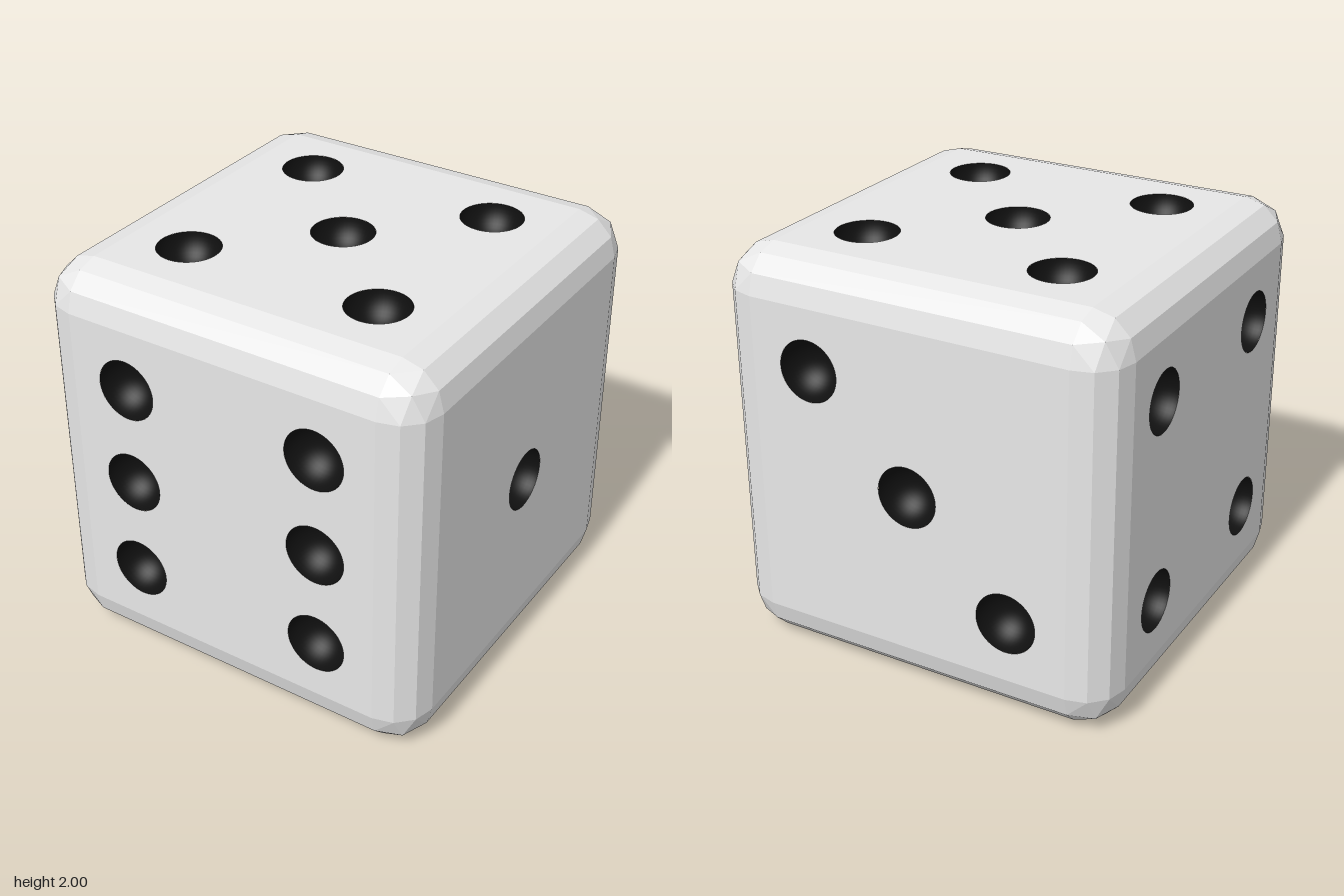
import * as THREE from 'three';
import { ConvexGeometry } from 'three/addons/geometries/ConvexGeometry.js';

const HALF = 1, BEVEL = 0.2, INNER = HALF - BEVEL;
const PIP_R = 0.15, PIP_SEGMENTS = 48, D = 0.5;

// Bevelled edges and corners: hull of eight rounded corners, without the six flat sides
function bevelGeometry() {
  const points = [];
  for (const sx of [-1, 1]) for (const sy of [-1, 1]) for (const sz of [-1, 1]) {
    for (let i = 0; i <= 3; i++) for (let j = 0; j <= 3 - i; j++) {
      const n = new THREE.Vector3(...[i, j, 3 - i - j].map(k => Math.sin(k * Math.PI / 6)));
      n.normalize().multiplyScalar(BEVEL).addScalar(INNER);
      points.push(n.multiply(new THREE.Vector3(sx, sy, sz)));
    }
  }
  const hull = new ConvexGeometry(points).getAttribute('position').array;
  const kept = [];
  for (let t = 0; t < hull.length; t += 9) {
    const flat = [0, 1, 2].some(a => {
      const c = [hull[t + a], hull[t + a + 3], hull[t + a + 6]];
      return c.every(v => v > HALF - 1e-4) || c.every(v => v < -HALF + 1e-4);
    });
    if (!flat) kept.push(...hull.slice(t, t + 9));
  }
  const geometry = new THREE.BufferGeometry();
  geometry.setAttribute('position', new THREE.Float32BufferAttribute(kept, 3));
  geometry.computeVertexNormals();
  return geometry;
}

// Flat square side with a round opening for each pip
function sideGeometry(pips) {
  const shape = new THREE.Shape([[-1, -1], [1, -1], [1, 1], [-1, 1]]
    .map(([x, y]) => new THREE.Vector2(x * INNER, y * INNER)));
  for (const [x, y] of pips) {
    shape.holes.push(new THREE.Path().absarc(x, y, PIP_R, 0, Math.PI * 2, true));
  }
  return new THREE.ShapeGeometry(shape, PIP_SEGMENTS);
}

export function createModel() {
  const white = new THREE.MeshStandardMaterial({ color: 0xe7e7e7 });
  white.name = 'white body';
  white.flatShading = true;
  const black = new THREE.MeshStandardMaterial({ color: 0x101010, side: THREE.DoubleSide });
  black.name = 'black pips';

  const model = new THREE.Group();
  model.name = 'die';
  const body = new THREE.Group();
  body.name = 'body';
  body.position.y = HALF;
  model.add(body);

  const bevel = new THREE.Mesh(bevelGeometry(), white);
  bevel.name = 'bevelledEdges';
  body.add(bevel);

  // Hollow half sphere sunk into a side
  const pipGeometry = new THREE.SphereGeometry(PIP_R, PIP_SEGMENTS, 12, 0, Math.PI * 2, 0, Math.PI / 2);
  pipGeometry.rotateX(-Math.PI / 2);

  const corners = [[-D, -D], [D, -D], [D, D], [-D, D]];
  const q = Math.PI / 2;
  const sides = [
    ['front', 0, 0, [...corners, [-D, 0], [D, 0]]],
    ['right', 0, q, [[0, 0]]],
    ['back', 0, 2 * q, [[-D, D], [0, 0], [D, -D]]],
    ['left', 0, -q, corners],
    ['top', -q, 0, [...corners, [0, 0]]],
    ['bottom', q, 0, [[D, D], [-D, -D]]],
  ];
  for (const [name, rx, ry, pips] of sides) {
    const side = new THREE.Group();
    side.name = name + 'Side';
    side.rotation.set(rx, ry, 0);
    const panel = new THREE.Mesh(sideGeometry(pips), white);
    panel.name = name + 'Panel';
    panel.position.z = HALF;
    side.add(panel);
    for (const [x, y] of pips) {
      const pip = new THREE.Mesh(pipGeometry, black);
      pip.name = name + 'Pip';
      pip.position.set(x, y, HALF);
      side.add(pip);
    }
    body.add(side);
  }
  return model;
}
